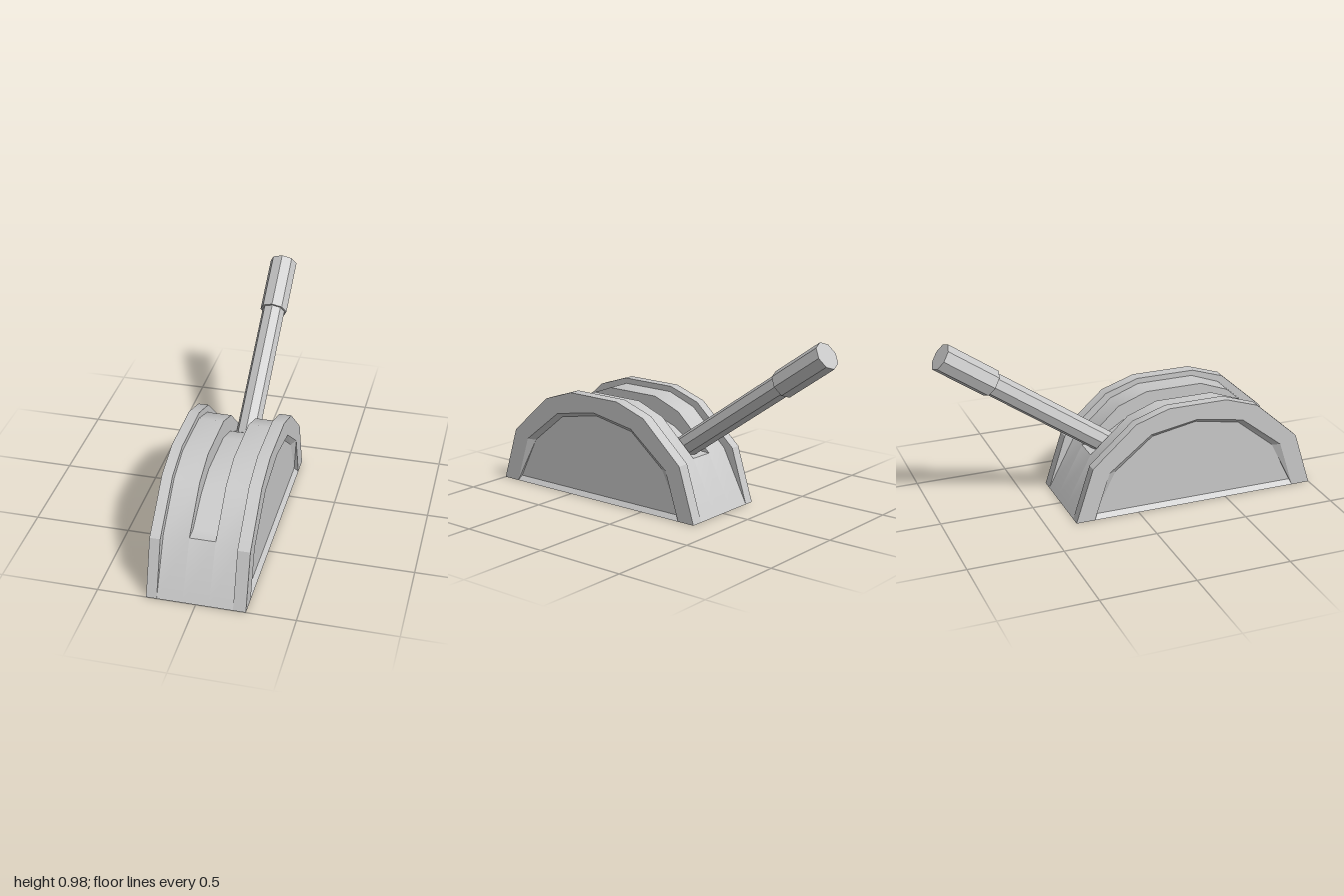
import * as THREE from 'three';

const grey = new THREE.MeshStandardMaterial({ color: 0xc9c9c9 });
grey.name = 'grey';

// Profiles are [z, y] points, front to back over the top; each half is mirrored about this z
const MID = 0.3275;
const arch = (half, peak = []) => [
  ...half, ...peak, ...half.map(([z, y]) => [2 * MID - z, y]).reverse(),
];
const RIM = arch([[1, 0], [0.907, 0.293], [0.67, 0.505], [0.49, 0.565]]);
const DRUM = arch([[1, 0], [0.853, 0.285], [0.645, 0.475], [0.485, 0.535]]);
const SLOT = arch([[0.853, 0.285], [0.785, 0.287], [0.62, 0.392], [0.475, 0.44]]);
const OPENING = arch([[0.899, 0], [0.817, 0.255], [0.587, 0.435]], [[MID, 0.48]]);
const PANEL = arch([[0.89, 0.025], [0.777, 0.25], [0.572, 0.415]], [[MID, 0.46]]);
const SLOT_X = 0.066, SIDE_X = 0.251, PANEL_X = 0.229;

const at = (profile, x) => profile.map(([z, y]) => [x, y, z]);

function add(group, name, geometry) {
  const mesh = new THREE.Mesh(geometry, grey);
  mesh.name = name;
  group.add(mesh);
}

// Quads joining two equal-length point rows
function loft(a, b, { smooth = false, closed = false } = {}) {
  const n = a.length, index = [];
  for (let i = 0; i < (closed ? n : n - 1); i++) {
    const j = (i + 1) % n;
    index.push(i, n + i, n + j, i, n + j, j);
  }
  let g = new THREE.BufferGeometry();
  g.setAttribute('position', new THREE.Float32BufferAttribute([...a, ...b].flat(), 3));
  g.setIndex(index);
  if (!smooth) g = g.toNonIndexed();
  g.computeVertexNormals();
  return g;
}

// Flat plate at a given x, facing +x or -x
function plate(profile, x, facing) {
  const shape = new THREE.Shape(profile.map(([z, y]) => new THREE.Vector2(-facing * z, y)));
  return new THREE.ShapeGeometry(shape).rotateY(facing * Math.PI / 2).translate(x, 0, 0);
}

// Raised rim with a shallow recessed side panel
function makeSide(inner) {
  const side = new THREE.Group();
  const strip = (pts, smooth) => loft(at(pts, inner), at(pts, SIDE_X), { smooth });
  add(side, 'rimFrontFoot', strip(RIM.slice(0, 2)));
  add(side, 'rimTop', strip(RIM.slice(1, -1), true));
  add(side, 'rimBackFoot', strip(RIM.slice(-2)));
  add(side, 'rimInnerFace', plate(RIM, inner, -1));
  add(side, 'rimOuterFace', plate([...RIM, ...[...OPENING].reverse()], SIDE_X, 1));
  add(side, 'recessWall', loft(at(OPENING, SIDE_X), at(PANEL, PANEL_X), { closed: true }));
  add(side, 'sidePanel', plate(PANEL, PANEL_X, 1));
  return side;
}

function makeDrum() {
  const drum = new THREE.Group();
  drum.name = 'drum';
  const strip = (pts, x0, x1) => loft(at(pts, x0), at(pts, x1), { smooth: true });
  add(drum, 'drumRightSurface', strip(DRUM, -0.197, -SLOT_X));
  add(drum, 'drumLeftSurface', strip(DRUM, SLOT_X, 0.187));
  // Middle keeps only its front and back feet, below the slot
  const feet = strip(DRUM, -SLOT_X, SLOT_X);
  const index = [...feet.index.array];
  feet.setIndex([...index.slice(0, 6), ...index.slice(-6)]);
  add(drum, 'drumFeet', feet);
  // Lever slot cut into the middle
  add(drum, 'slotFloor', strip(SLOT, -SLOT_X, SLOT_X));
  const wall = [...DRUM.slice(1, -1), ...SLOT.slice(1, -1).reverse()];
  add(drum, 'slotLeftWall', plate(wall, SLOT_X, -1));
  add(drum, 'slotRightWall', plate(wall, -SLOT_X, 1));
  return drum;
}

// Underside frame with a shallow recess
function makeBase() {
  const base = new THREE.Group();
  base.name = 'base';
  const rect = (x, z0, z1, y) => [[-x, y, z0], [x, y, z0], [x, y, z1], [-x, y, z1]];
  const flat = (ring) => ring.map(([x, , z]) => new THREE.Vector2(x, z));
  const rim = rect(0.19, 0.9, -0.245, 0), floor = rect(0.187, 0.897, -0.242, 0.018);
  const frame = new THREE.Shape(flat(rect(SIDE_X, 1, -0.345, 0)));
  frame.holes.push(new THREE.Path(flat(rim)));
  add(base, 'baseFrame', new THREE.ShapeGeometry(frame).rotateX(Math.PI / 2));
  add(base, 'baseRecessWall', loft(rim, floor, { closed: true }));
  add(base, 'basePanel', new THREE.ShapeGeometry(new THREE.Shape(flat(floor)))
    .rotateX(Math.PI / 2).translate(0, 0.018, 0));
  return base;
}

// Octagonal lever leaning back, with a thicker grip
function makeLever() {
  const lever = new THREE.Group();
  lever.name = 'lever';
  const rod = (name, radius, from, to) => {
    const g = new THREE.CylinderGeometry(radius, radius, to - from, 8).toNonIndexed();
    g.computeVertexNormals();
    add(lever, name, g.translate(0, (from + to) / 2, 0));
  };
  rod('shaft', 0.062, 0, 0.96);
  rod('grip', 0.074, 0.94, 1.25);
  lever.position.set(0, 0.202, 0.069);
  lever.rotation.x = THREE.MathUtils.degToRad(-55);
  return lever;
}

export function createModel() {
  const model = new THREE.Group();
  model.name = 'throttleLever';
  const left = makeSide(0.187), right = makeSide(0.197);
  left.name = 'leftSide';
  right.name = 'rightSide';
  right.scale.x = -1;
  model.add(left, right, makeDrum(), makeBase(), makeLever());
  return model;
}
